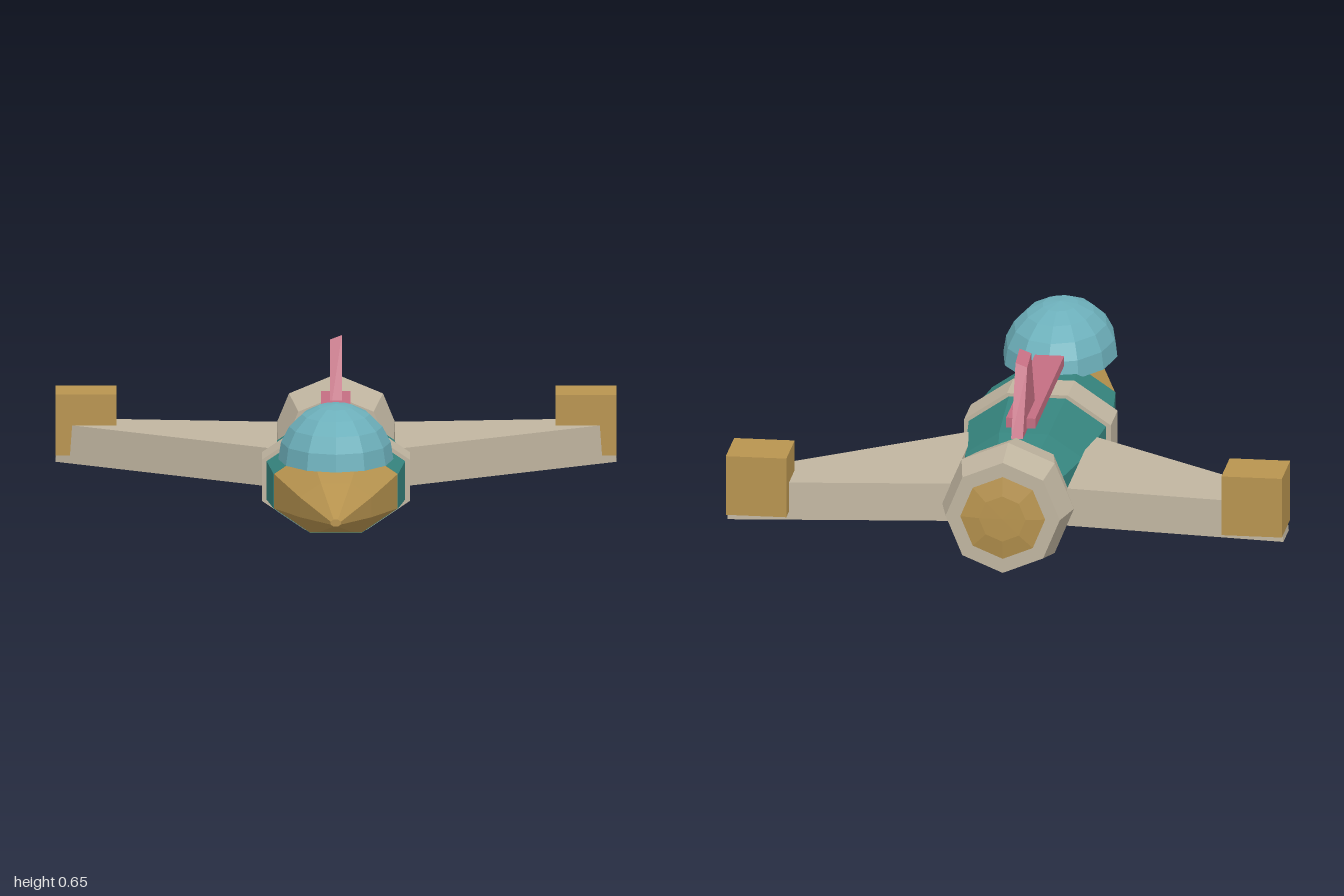
import * as THREE from 'three';

const material = (name, color) => {
  const m = new THREE.MeshStandardMaterial({ color, flatShading: true });
  m.name = name;
  return m;
};

export function createModel() {
  const group = new THREE.Group();
  const tan = material('tan', 0xc0b5a0);
  const teal = material('teal', 0x36857f);
  const gold = material('gold', 0xb8944f);
  const glass = material('glass blue', 0x6db0bb);
  const pink = material('pink', 0xc46e82);
  const AXIS = 0.23; // height of the fuselage centre line
  const APOTHEM = Math.cos(Math.PI / 8);

  const add = (name, geometry, mat, x = 0, y = 0, z = 0) => {
    const mesh = new THREE.Mesh(geometry, mat);
    mesh.name = name;
    mesh.position.set(x, y, z);
    group.add(mesh);
    return mesh;
  };

  // Eight-sided hull along z; profile is [z, radius] from back to front
  const hull = (name, profile, mat, phase = 0, widen = 1) => {
    const points = profile.map(([z, r]) => new THREE.Vector2(r, z));
    const g = new THREE.LatheGeometry(points, 8, phase).rotateX(Math.PI / 2).scale(widen, 1, 1);
    return add(name, g, mat, 0, AXIS);
  };
  // Wide octagon with flat top and sides; profile gives half heights
  const flatHull = (name, profile, mat) =>
    hull(name, profile.map(([z, h]) => [z, h / APOTHEM]), mat, Math.PI / 8, 1.475);

  // Fuselage
  flatHull('fuselage', [[-0.7, 0], [-0.7, 0.095], [-0.65, 0.105], [-0.46, 0.137],
    [-0.12, 0.159], [0.05, 0.159], [0.29, 0.143], [0.29, 0]], teal);
  flatHull('nose', [[0.29, 0], [0.29, 0.142], [0.65, 0.082], [1, 0.012], [1, 0]], gold);
  flatHull('bodyBand', [[-0.12, 0], [-0.12, 0.17], [0.05, 0.17], [0.05, 0]], tan);

  // Engine and its glowing exhaust
  hull('engine', [[-0.985, 0], [-0.985, 0.195], [-0.85, 0.225], [-0.65, 0.18], [-0.65, 0]], tan);
  hull('exhaust', [[-1, 0], [-0.998, 0.08], [-0.984, 0.15]], gold);

  // Canopy: half ellipsoid with a flat base
  const dome = new THREE.SphereGeometry(1, 12, 5, 0, Math.PI * 2, 0, Math.PI / 2);
  add('canopy', dome.scale(0.195, 0.19, 0.303), glass, 0, 0.365, 0.452);
  const base = new THREE.CircleGeometry(1, 12).rotateX(Math.PI / 2);
  add('canopyBase', base.scale(0.195, 1, 0.303), glass, 0, 0.365, 0.452);

  // Spine and tail fin
  add('spine', new THREE.BoxGeometry(0.1, 0.035, 0.72), pink, 0, 0.4275, -0.178);
  const finShape = new THREE.Shape([[0.31, 0.4], [0.63, 0.4], [0.52, 0.635], [0.42, 0.655]]
    .map(([a, y]) => new THREE.Vector2(a, y)));
  const fin = new THREE.ExtrudeGeometry(finShape, { depth: 0.04, bevelEnabled: false })
    .rotateY(Math.PI / 2).translate(-0.02, 0, 0);
  const fp = fin.attributes.position;
  for (let i = 0; i < fp.count; i++) {
    // the fin's tip leans down towards the right side
    if (fp.getY(i) > 0.5 && fp.getX(i) < 0) fp.setY(i, fp.getY(i) - 0.015);
  }
  fin.computeVertexNormals();
  add('tailFin', fin, pink);

  // Swept wings, slightly smaller on top, with a box pod on each tip
  for (const side of [1, -1]) {
    const label = side > 0 ? 'left' : 'right';
    const outline = [[0.19, -0.21], [0.95, -0.785], [0.95, -0.92], [0.19, -0.835]]
      .map(([x, z]) => new THREE.Vector2(x * side, z));
    const wing = new THREE.ExtrudeGeometry(new THREE.Shape(outline),
      { depth: 0.13, bevelEnabled: false }).rotateX(Math.PI / 2);
    const p = wing.attributes.position;
    const cx = 0.5 * side, cz = -0.68;
    for (let i = 0; i < p.count; i++) {
      if (p.getY(i) < -0.06) continue;
      p.setX(i, cx + (p.getX(i) - cx) * 0.97);
      p.setZ(i, cz + (p.getZ(i) - cz) * 0.97);
    }
    wing.computeVertexNormals();
    add(label + 'Wing', wing, tan, 0, 0.295);
    add(label + 'WingPod', new THREE.BoxGeometry(0.207, 0.208, 0.208), gold, 0.8465 * side, 0.296, -0.853);
  }

  return group;
}
